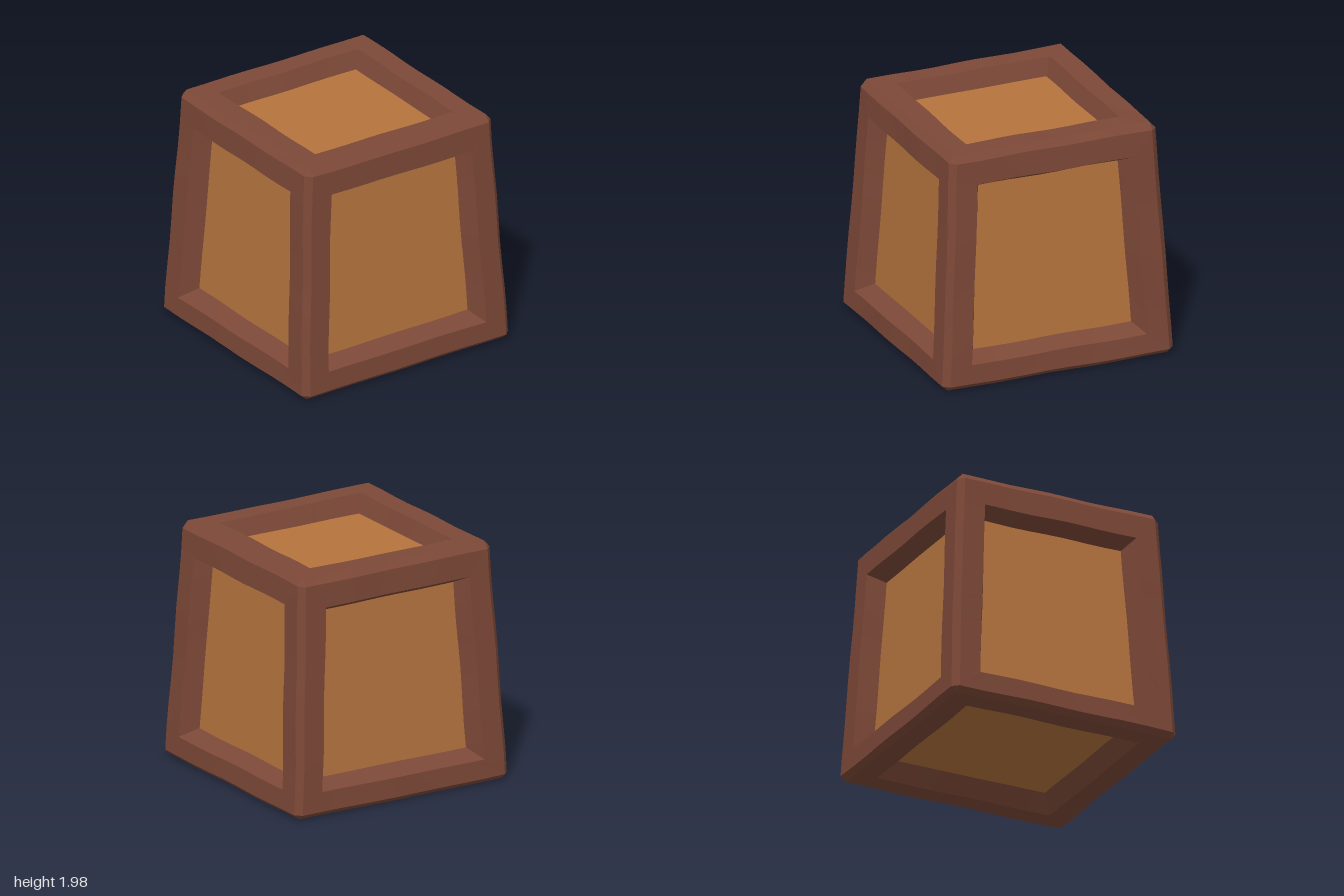
import * as THREE from 'three';
import { toCreasedNormals } from 'three/addons/utils/BufferGeometryUtils.js';

const { clamp } = THREE.MathUtils;
const CHAMFER = 0.95;
// Beam cross-section, as distances from the crate centre along two axes
const SECTION = [[0.67, 0.8], [0.768, 1], [CHAMFER, 1], [1, CHAMFER], [1, 0.768], [0.8, 0.67]];
const STEPS = 9;

// Cube space to crate space: narrows upward while beam widths stay constant
function taper([u, v, w]) {
  const y = 0.995 + v * 0.985;
  const inset = 0.1 * clamp((y - 0.06) / 1.85, 0, 1);
  const narrow = (t) => t - inset * clamp(t / 0.6, -1, 1);
  return [narrow(u), y, narrow(w)];
}

// Gentle hand-hewn unevenness, a function of position so that joints stay closed;
// the inner edges sit lower, making the top beams taller than the bottom ones
function hewn([x, y, z]) {
  const wave = (a, b, c) => 0.004 * Math.sin(4 * a + 7 * b + 2 * c);
  const drop = 0.026 * clamp((1 - Math.abs(y)) / 0.2, 0, 1);
  return taper([
    x + Math.sign(x) * wave(x, y, z),
    y + Math.sign(y) * wave(y, z, x) - drop,
    z + Math.sign(z) * wave(z, x, y),
  ]);
}

function meshFrom(positions, material, name) {
  const geometry = new THREE.BufferGeometry();
  geometry.setAttribute('position', new THREE.Float32BufferAttribute(positions, 3));
  const mesh = new THREE.Mesh(toCreasedNormals(geometry, 0.45), material);
  mesh.name = name;
  return mesh;
}

// One mitred beam along an axis, on the edge chosen by the two signs
function beam(axis, s1, s2, material) {
  const positions = [];
  const point = ([a, b], k) => {
    const p = [0, 0, 0];
    p[axis] = (2 * k / STEPS - 1) * Math.min(a, b);
    p[(axis + 1) % 3] = s1 * a;
    p[(axis + 2) % 3] = s2 * b;
    return hewn(p);
  };
  const triangle = (a, b, c) => positions.push(...a, ...(s1 * s2 > 0 ? [...b, ...c] : [...c, ...b]));
  for (let i = 0; i < SECTION.length - 1; i++) {
    for (let k = 0; k < STEPS; k++) {
      const a = point(SECTION[i], k), b = point(SECTION[i], k + 1);
      const c = point(SECTION[i + 1], k), d = point(SECTION[i + 1], k + 1);
      triangle(a, b, c);
      triangle(b, d, c);
    }
  }
  return meshFrom(positions, material, ['crossBeam', 'cornerPost', 'sideBeam'][axis]);
}

// Small triangle closing the cut-off tip of a corner
function cornerTip(sx, sy, sz, material) {
  const c = CHAMFER;
  const tri = [[1, c, c], [c, 1, c], [c, c, 1]].map(([x, y, z]) => hewn([sx * x, sy * y, sz * z]));
  if (sx * sy * sz < 0) tri.reverse();
  return meshFrom(tri.flat(), material, 'cornerTip');
}

export function createModel() {
  const frameWood = new THREE.MeshStandardMaterial({ color: 0x7c4837 });
  frameWood.name = 'frameWood';
  const panelWood = new THREE.MeshStandardMaterial({ color: 0xb5743e });
  panelWood.name = 'panelWood';

  const crate = new THREE.Group();
  crate.name = 'crate';

  // Frame: twelve beams and eight corner tips
  const frame = new THREE.Group();
  frame.name = 'frame';
  for (const s1 of [-1, 1]) {
    for (const s2 of [-1, 1]) {
      for (let axis = 0; axis < 3; axis++) frame.add(beam(axis, s1, s2, frameWood));
      for (const s3 of [-1, 1]) frame.add(cornerTip(s1, s2, s3, frameWood));
    }
  }
  crate.add(frame);

  // Recessed panels: a tapered box seen through the frame openings
  const box = new THREE.BoxGeometry(1.71, 1.71, 1.71);
  const pos = box.attributes.position;
  for (let i = 0; i < pos.count; i++) {
    pos.setXYZ(i, ...taper([pos.getX(i), pos.getY(i), pos.getZ(i)]));
  }
  box.computeVertexNormals();
  const panels = new THREE.Mesh(box, panelWood);
  panels.name = 'panels';
  crate.add(panels);

  return crate;
}
